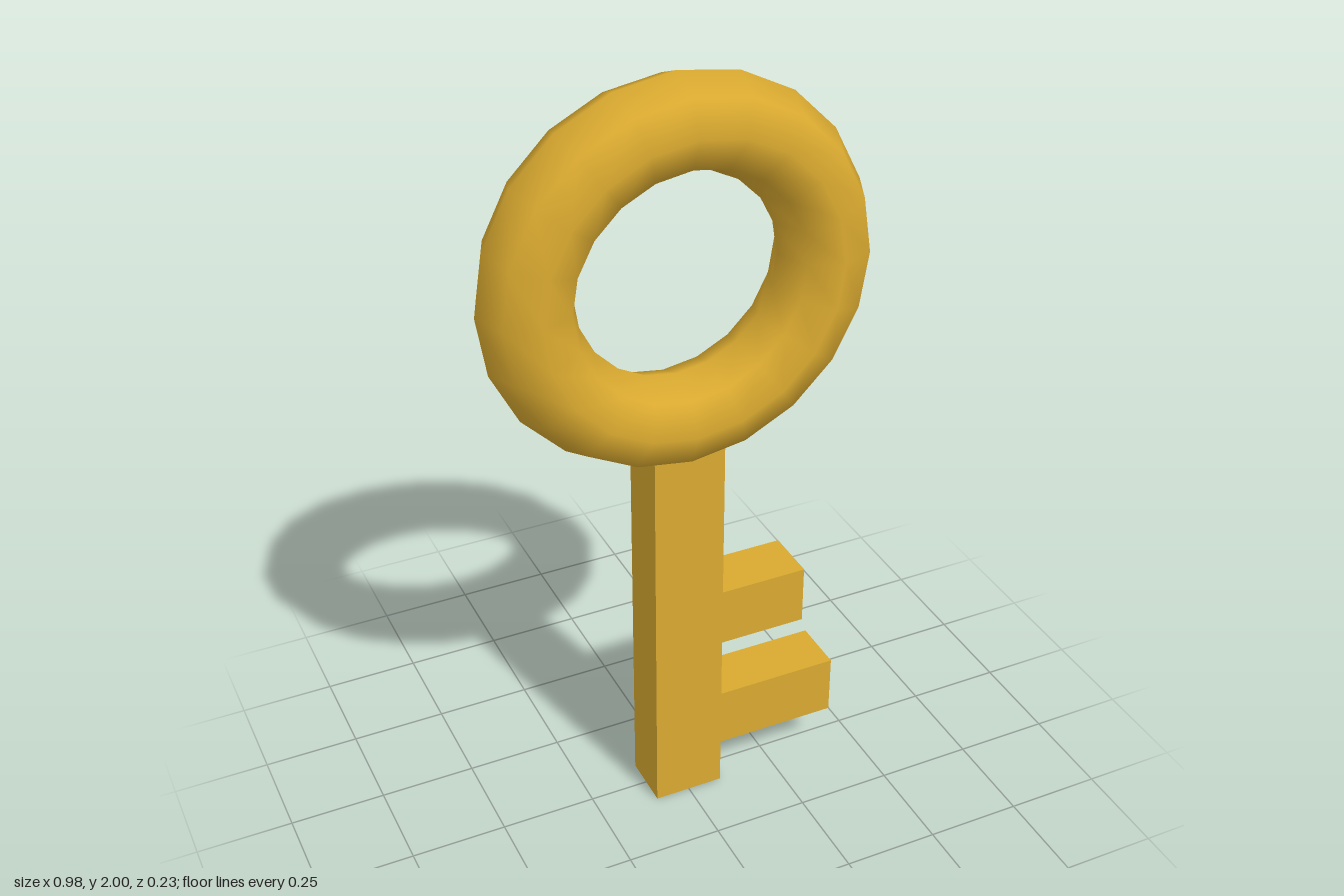
import * as THREE from 'three';

export function createModel() {
  const model = new THREE.Group();
  model.name = 'key';

  const gold = new THREE.MeshStandardMaterial({ color: 0xdaaa30 });
  gold.name = 'gold';

  // Ring handle: eight-sided tube, twenty segments round
  const bow = new THREE.Mesh(new THREE.TorusGeometry(0.375, 0.117, 8, 20), gold);
  bow.name = 'ringHandle';
  bow.position.y = 1.508;
  model.add(bow);

  // Shaft and its two teeth: one flush outline, its top buried in the ring
  const half = 0.093, depth = 0.144;
  const teeth = [
    { bottom: 0.13, top: 0.295, tip: 0.42 },
    { bottom: 0.465, top: 0.625, tip: 0.325 },
  ];
  const outline = new THREE.Shape();
  outline.moveTo(-half, 0);
  outline.lineTo(half, 0);
  for (const { bottom, top, tip } of teeth) {
    outline.lineTo(half, bottom);
    outline.lineTo(tip, bottom);
    outline.lineTo(tip, top);
    outline.lineTo(half, top);
  }
  outline.lineTo(half, 1.13);
  outline.lineTo(-half, 1.13);
  outline.closePath();

  const shaftGeometry = new THREE.ExtrudeGeometry(outline, { depth, bevelEnabled: false });
  shaftGeometry.translate(0, 0, -depth / 2);
  const shaft = new THREE.Mesh(shaftGeometry, gold);
  shaft.name = 'shaftAndTeeth';
  model.add(shaft);

  return model;
}
